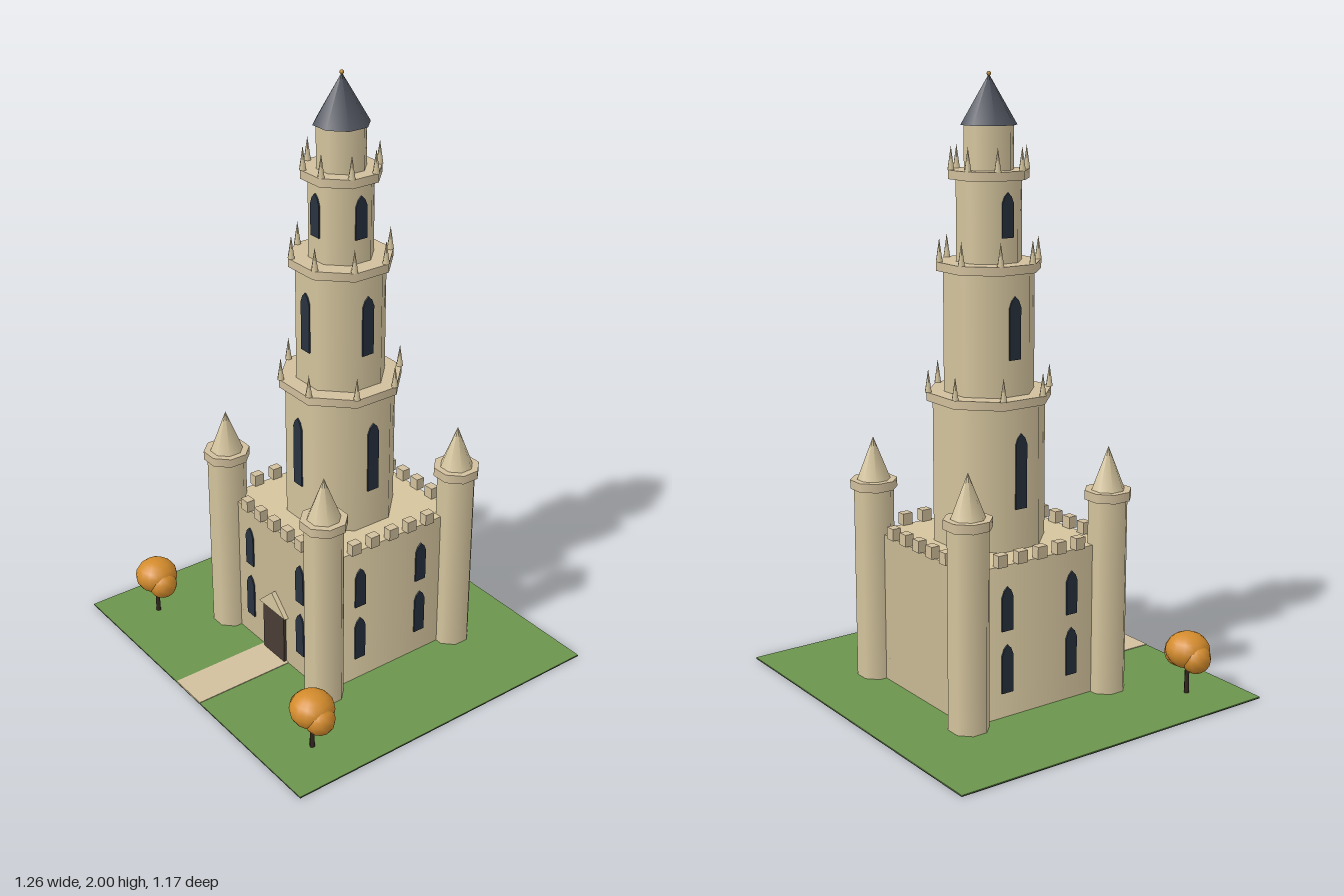
import * as THREE from 'three';

const mat = (name, color) => {
  const m = new THREE.MeshStandardMaterial({ color });
  m.name = name;
  return m;
};

export function createModel() {
  const stone = mat('stone', 0xd5c59e);
  const trim = mat('trimStone', 0xd2c09d);
  const slate = mat('slate', 0x4e525c);
  const glass = mat('darkGlass', 0x28323f);
  const wood = mat('doorWood', 0x4a3b35);
  const grass = mat('grass', 0x6b954d);
  const earth = mat('darkEarth', 0x2c3022);
  const bark = mat('bark', 0x33281f);
  const leaves = mat('autumnLeaves', 0xd38b2c);
  const gold = mat('gold', 0xb88a3a);

  const root = new THREE.Group();
  root.name = 'castle';
  const add = (parent, name, geo, material, x = 0, y = 0, z = 0) => {
    const m = new THREE.Mesh(geo, material);
    m.name = name;
    m.position.set(x, y, z);
    parent.add(m);
    return m;
  };
  const box = (w, h, d) => new THREE.BoxGeometry(w, h, d);

  // Softly shaded prism or pyramid from y0 to y1, sized by its flat-to-centre distance
  const prism = (sides, rBottom, rTop, y0, y1) => {
    const k = 1 / Math.cos(Math.PI / sides);
    return new THREE.CylinderGeometry(rTop * k, rBottom * k, y1 - y0, sides)
      .rotateY(Math.PI / sides).translate(0, (y0 + y1) / 2, 0);
  };
  const octagon = (...sizes) => prism(8, ...sizes);

  // Thin pointed window plate facing +z, base at the origin
  const windowGeo = (w, h) => {
    const s = new THREE.Shape();
    s.moveTo(-w / 2, 0);
    s.lineTo(w / 2, 0);
    s.lineTo(w / 2, h - w * 0.8);
    s.lineTo(w * 0.3, h - w * 0.3);
    s.lineTo(0, h);
    s.lineTo(-w * 0.3, h - w * 0.3);
    s.lineTo(-w / 2, h - w * 0.8);
    return new THREE.ExtrudeGeometry(s, { depth: 0.006, bevelEnabled: false });
  };

  // Grounds
  add(root, 'earthBase', box(1.26, 0.003, 1.175), earth, 0, 0.0015, 0);
  add(root, 'lawn', box(1.26, 0.002, 1.175), grass, 0, 0.004, 0);
  add(root, 'path', box(0.142, 0.004, 0.36), trim, 0, 0.0055, 0.4075);

  const castle = new THREE.Group();
  castle.name = 'building';
  castle.position.z = -0.043;
  root.add(castle);

  // Keep with battlements
  const half = 0.273, keepTop = 0.507, floor = 0.003;
  add(castle, 'keep', prism(4, half, half, floor, keepTop), stone);
  for (let side = 0; side < 4; side++) {
    const wall = new THREE.Group();
    wall.name = 'battlement';
    wall.rotation.y = side * Math.PI / 2;
    castle.add(wall);
    for (let i = -2; i <= 2; i++)
      add(wall, 'merlon', box(0.036, 0.04, 0.03), trim, i * 0.076, keepTop + 0.02, half);
  }

  // Windows on the front and both flanks
  for (const side of [-1, 0, 1]) {
    const face = new THREE.Group();
    face.name = 'windows';
    face.rotation.y = side * Math.PI / 2;
    castle.add(face);
    const spread = side === 0 ? 0.143 : 0.127;
    for (const x of [-spread, spread]) {
      add(face, 'lowerWindow', windowGeo(0.042, 0.16), glass, x, 0.087, half - 0.001);
      add(face, 'upperWindow', windowGeo(0.042, 0.145), glass, x, 0.293, half - 0.001);
    }
    add(face, 'firstTierWindow', windowGeo(0.043, 0.245), glass, 0, 0.642, 0.17);
    add(face, 'secondTierWindow', windowGeo(0.043, 0.2), glass, 0, 1.117, 0.136);
    add(face, 'thirdTierWindow', windowGeo(0.043, 0.14), glass, 0, 1.495, 0.097);
  }

  // Door and gable
  add(castle, 'door', box(0.118, 0.187, 0.012), wood, 0, 0.0965, half + 0.004);
  const gable = new THREE.Shape();
  gable.moveTo(-0.074, 0);
  gable.lineTo(0.074, 0);
  gable.lineTo(0, 0.07);
  add(castle, 'doorGable',
    new THREE.ExtrudeGeometry(gable, { depth: 0.018, bevelEnabled: false }),
    stone, 0, 0.19, half - 0.002);

  // Corner turrets
  for (const x of [-half, half]) for (const z of [-half, half]) {
    const turret = new THREE.Group();
    turret.name = 'cornerTurret';
    turret.position.set(x, 0, z);
    castle.add(turret);
    add(turret, 'turretShaft', octagon(0.061, 0.061, floor, 0.657), stone);
    add(turret, 'turretCollar', octagon(0.072, 0.072, 0.655, 0.685), trim);
    add(turret, 'turretSpire', octagon(0.051, 0, 0.685, 0.827), stone);
  }

  // Stepped tower: shaft radius, bottom, top, ledge radius, pinnacle circle radius
  const tiers = [
    [0.171, 0.5, 1.0, 0.19, 0.199],
    [0.137, 1.0, 1.415, 0.157, 0.160],
    [0.098, 1.415, 1.7, 0.12, 0.121],
  ];
  for (const [r, y0, y1, ledge, ring] of tiers) {
    add(castle, 'towerTier', octagon(r, r, y0, y1 - 0.01), stone);
    add(castle, 'towerLedge', octagon(ledge, ledge, y1 - 0.028, y1), trim);
    for (let i = 0; i < 8; i++) {
      const a = (i + 0.5) * Math.PI / 4;
      add(castle, 'pinnacle', new THREE.ConeGeometry(0.012, 0.075, 6), stone,
        Math.sin(a) * ring, y1 + 0.0375, Math.cos(a) * ring);
    }
  }

  // Lantern and roof
  add(castle, 'lantern', octagon(0.074, 0.074, 1.69, 1.84), stone);
  add(castle, 'lanternRoof', octagon(0.084, 0, 1.837, 1.992), slate);
  add(castle, 'finial', new THREE.SphereGeometry(0.007, 8, 6), gold, 0, 1.993, 0);

  // Trees
  for (const x of [-0.463, 0.463]) {
    const tree = new THREE.Group();
    tree.name = 'tree';
    tree.position.set(x, 0, 0.419);
    root.add(tree);
    add(tree, 'trunk', new THREE.CylinderGeometry(0.007, 0.009, 0.117, 6), bark, 0, 0.0635, 0);
    add(tree, 'crown', new THREE.SphereGeometry(0.073, 14, 10), leaves, 0, 0.154, 0)
      .scale.y = 0.82;
    for (const s of [-1, 1])
      add(tree, 'sideFoliage', new THREE.SphereGeometry(0.05, 12, 8), leaves, s * 0.04, 0.136, 0);
  }
  return root;
}
